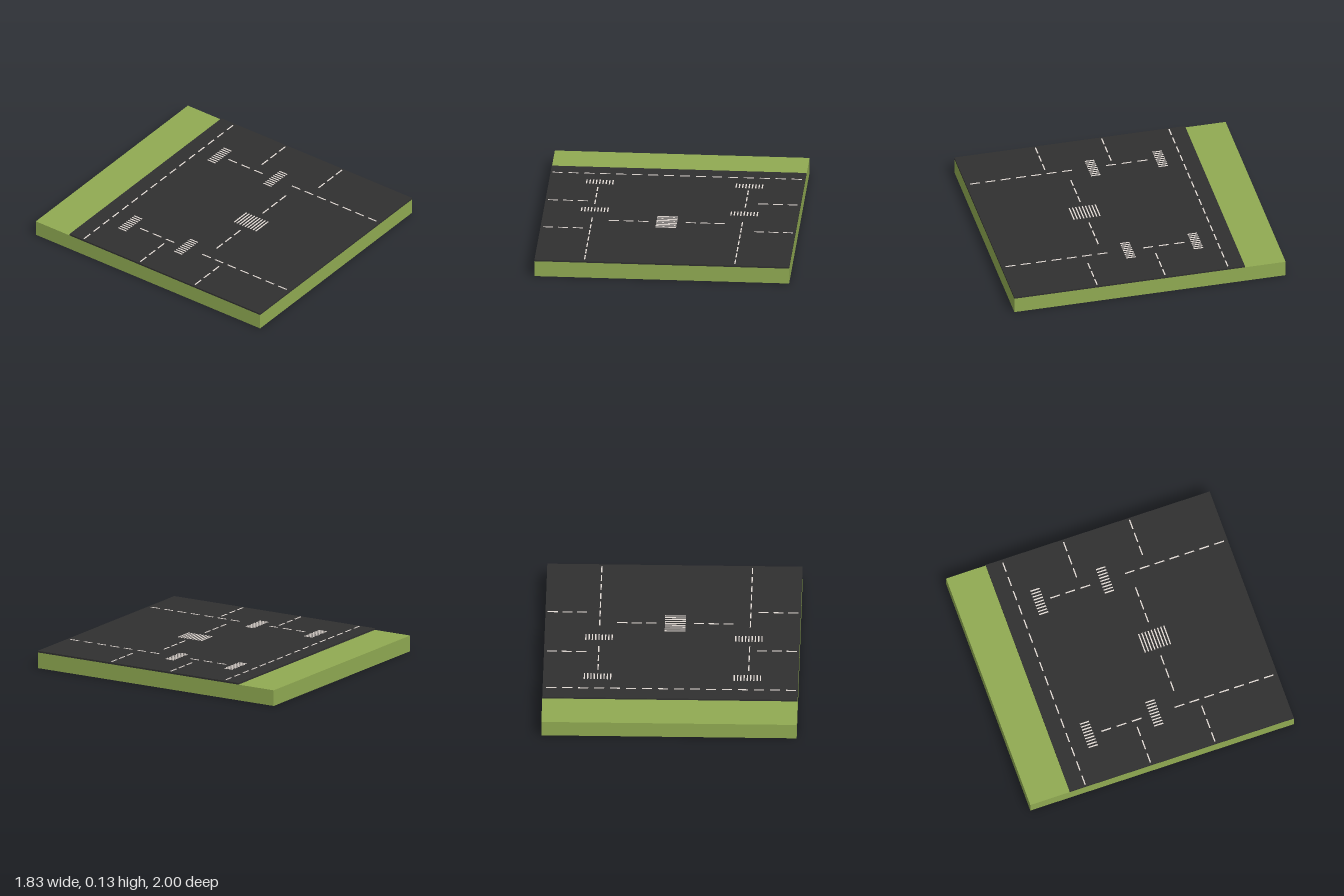
import * as THREE from 'three';

const BASE_TOP = 0.116, ROAD_TOP = 0.128, PAINT_TOP = 0.131;
const HALF_X = 0.915, ROAD_BACK = -0.7;
const DASH = 0.073, LINE = 0.009;

const material = (color) => new THREE.MeshStandardMaterial({ color });

// Box given by its lower and upper bounds
function slab(name, mat, x0, x1, y0, y1, z0, z1) {
  const mesh = new THREE.Mesh(new THREE.BoxGeometry(x1 - x0, y1 - y0, z1 - z0), mat);
  mesh.name = name;
  mesh.position.set((x0 + x1) / 2, (y0 + y1) / 2, (z0 + z1) / 2);
  return mesh;
}

export function createModel() {
  const model = new THREE.Group();
  model.name = 'roadTile';
  const grass = material(0x90aa52);
  const asphalt = material(0x303030);
  const paint = material(0xe2dad4);

  // Ground block and the asphalt sheet over its front part
  model.add(slab('grassBase', grass, -HALF_X, HALF_X, 0, BASE_TOP, -1, 1));
  model.add(slab('asphalt', asphalt, -HALF_X, HALF_X, BASE_TOP, ROAD_TOP, ROAD_BACK, 1));

  const stripe = (name, x0, x1, z0, z1) =>
    slab(name, paint, x0, x1, ROAD_TOP - 0.002, PAINT_TOP, z0, z1);

  // Dashed lane line along x or z, beginning at start
  function laneLine(name, axis, across, start, count, pitch) {
    const group = new THREE.Group();
    group.name = name;
    const a = across - LINE / 2, b = across + LINE / 2;
    for (let i = 0; i < count; i++) {
      const s = start + i * pitch, e = s + DASH;
      group.add(axis === 'x' ? stripe('dash', s, e, a, b) : stripe('dash', a, b, s, e));
    }
    model.add(group);
  }

  // Crosswalk: nine bars spaced along one axis
  function crosswalk(name, axis, x0, x1, z0, z1) {
    const group = new THREE.Group();
    group.name = name;
    const bars = 9;
    const [from, to] = axis === 'x' ? [x0, x1] : [z0, z1];
    for (let i = 0; i < bars; i++) {
      const s = from + ((to - from - LINE) * i) / (bars - 1);
      group.add(axis === 'x' ? stripe('bar', s, s + LINE, z0, z1) : stripe('bar', x0, x1, s, s + LINE));
    }
    model.add(group);
  }

  // Main road along the back
  laneLine('backRoadLine', 'x', -0.579, -0.902, 16, 0.1146);

  // Two roads running front to back
  laneLine('rightRoadBackLine', 'z', -0.557, -0.336, 3, 0.116);
  laneLine('rightRoadFrontLine', 'z', -0.557, 0.22, 7, 0.113);
  laneLine('leftRoadBackLine', 'z', 0.523, -0.347, 3, 0.115);
  laneLine('leftRoadFrontLine', 'z', 0.523, 0.22, 7, 0.113);

  // Side roads
  laneLine('rightSideBackLine', 'x', -0.082, -0.897, 3, 0.107);
  laneLine('rightSideFrontLine', 'x', 0.407, -0.897, 3, 0.107);
  laneLine('leftSideBackLine', 'x', -0.116, 0.611, 3, 0.105);
  laneLine('leftSideFrontLine', 'x', 0.386, 0.616, 3, 0.105);

  // Connecting road in the middle
  laneLine('middleRightLine', 'x', 0.257, -0.436, 3, 0.106);
  laneLine('middleLeftLine', 'x', 0.257, 0.118, 3, 0.104);

  // Pedestrian crossings
  for (const [side, x] of [['right', -0.648], ['left', 0.426]]) {
    crosswalk(side + 'BackCrosswalk', 'x', x, x + 0.197, -0.464, -0.394);
    crosswalk(side + 'FrontCrosswalk', 'x', x, x + 0.197, 0.034, 0.104);
  }
  crosswalk('middleCrosswalk', 'z', -0.093, 0.056, 0.156, 0.356);

  return model;
}
